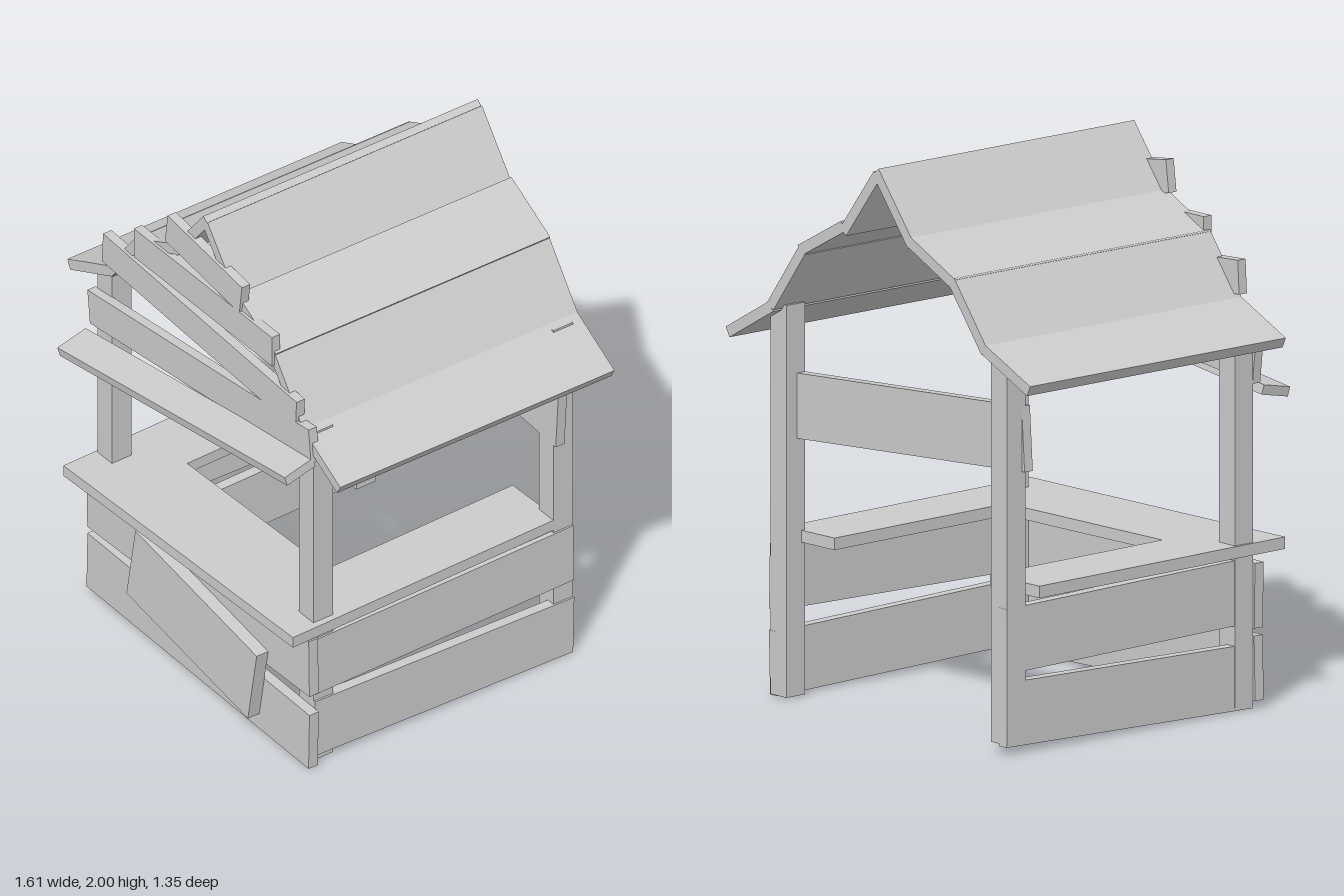
import * as THREE from 'three';

const mat = new THREE.MeshStandardMaterial({ color: 0xcccccc, flatShading: true });

export function createModel() {
  const stall = new THREE.Group();
  const rad = THREE.MathUtils.degToRad;

  // A board given by its centre, size and tilt in degrees
  function board(name, parent, [x, y, z], [w, h, d], tilt = 0) {
    const mesh = new THREE.Mesh(new THREE.BoxGeometry(w, h, d), mat);
    mesh.name = name;
    mesh.position.set(x, y, z);
    mesh.rotation.z = rad(tilt);
    parent.add(mesh);
    return mesh;
  }

  function group(name) {
    const g = new THREE.Group();
    g.name = name;
    stall.add(g);
    return g;
  }

  // Corner posts: x, z, bottom, top
  const posts = group('posts');
  for (const [name, x, z, y0, y1] of [
    ['frontRightPost', -0.617, 0.453, 0.02, 1.4],
    ['frontLeftPost', 0.573, 0.453, 0.01, 1.415],
    ['backRightPost', -0.617, -0.607, 0.04, 1.4],
    ['backLeftPost', 0.573, -0.588, 0.01, 1.415],
  ]) board(name, posts, [x, (y0 + y1) / 2, z], [0.085, y1 - y0, 0.085]);

  // Crooked wall planks, the same pair on three sides
  for (const [name, x, z, turn, length] of [
    ['frontWall', -0.012, 0.515, 0, 1.312],
    ['leftWall', 0.603, -0.066, 90, 1.125],
    ['rightWall', -0.637, -0.076, -90, 1.145],
  ]) {
    const wall = group(name);
    wall.position.set(x, 0, z);
    wall.rotation.y = rad(turn);
    board('upperPlank', wall, [0, 0.421, 0], [length, 0.234, 0.04], 1);
    board('lowerPlank', wall, [0, 0.135, 0], [length, 0.232, 0.04], -1.3);
  }
  board('patchBoard', stall, [0.018, 0.286, 0.56], [0.728, 0.302, 0.05], -10);

  // U-shaped counter, turned slightly
  const u = new THREE.Shape([
    [-0.655, -0.585], [0.655, -0.585], [0.655, 0.585], [0.4, 0.585],
    [0.4, -0.235], [-0.4, -0.235], [-0.4, 0.585], [-0.655, 0.585],
  ].map(([x, y]) => new THREE.Vector2(x, y)));
  const counterGeo = new THREE.ExtrudeGeometry(u, { depth: 0.043, bevelEnabled: false });
  counterGeo.rotateX(-Math.PI / 2).rotateY(Math.PI);
  // The closed side of the U now lies towards -z, so turn it to the front
  counterGeo.rotateY(Math.PI);
  const counter = new THREE.Mesh(counterGeo, mat);
  counter.name = 'counter';
  counter.position.set(-0.025, 0.557, 0.038);
  counter.rotation.y = rad(1.5);
  stall.add(counter);

  // Roof slabs, each from the top line of its cross-section, left to right
  const roof = group('roof');
  const t = 0.04;
  for (const [x0, y0, x1, y1] of [
    [-0.807, 1.354, -0.57, 1.462],
    [-0.58, 1.45, -0.405, 1.675],
    [-0.41, 1.67, -0.17, 1.785],
    [-0.19, 1.765, -0.004, 2.0],
    [0.022, 1.987, 0.2, 1.755],
    [0.195, 1.78, 0.425, 1.655],
    [0.42, 1.65, 0.585, 1.425],
    [0.575, 1.43, 0.805, 1.3],
  ]) {
    const len = Math.hypot(x1 - x0, y1 - y0);
    const nx = -(y1 - y0) / len, ny = (x1 - x0) / len;
    board('roofSlab', roof,
      [(x0 + x1) / 2 - nx * t / 2, (y0 + y1) / 2 - ny * t / 2, -0.077],
      [len, t, 1.19], THREE.MathUtils.radToDeg(Math.atan2(y1 - y0, x1 - x0)));
  }

  // Crooked gable planks: x, y, length, height, tilt
  const gable = group('gable');
  for (const [x, y, w, h, tilt] of [
    [0.012, 1.807, 0.443, 0.118, -7.5],
    [0.008, 1.663, 0.815, 0.122, 0],
    [-0.013, 1.503, 1.145, 0.122, -3.4],
    [-0.013, 1.31, 1.315, 0.135, 6.5],
  ]) board('gablePlank', gable, [x, y, 0.511], [w, h, 0.036], tilt);

  // Sloping awning board above the opening
  const awning = board('awning', stall, [0, 1.215, 0.594], [1.315, 0.036, 0.13], 7.8);
  awning.rotation.set(rad(12), rad(1.3), rad(7.8), 'ZYX');

  // Wide plank across the back
  board('backPlank', stall, [-0.013, 1.085, -0.562], [1.31, 0.234, 0.038], -3.8);

  return stall;
}
